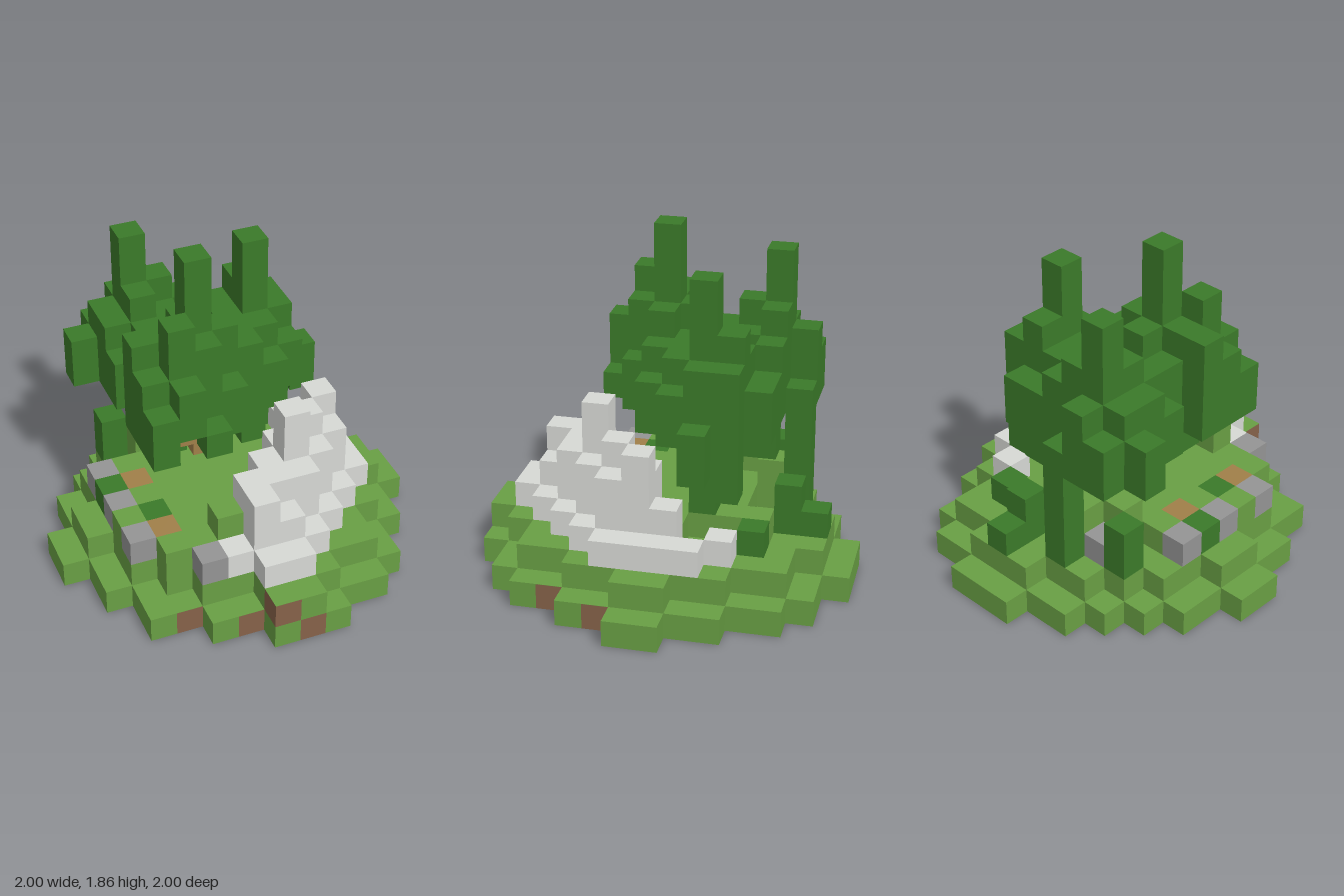
import * as THREE from 'three';
import { mergeGeometries } from 'three/addons/utils/BufferGeometryUtils.js';

const U = 1 / 7; // edge of one block
const mat = (name, color) => Object.assign(new THREE.MeshStandardMaterial({ color }), { name });

// One upright column of blocks standing in cell (x, z), from level y0 to y1
function column(x, z, y0, y1) {
  const g = new THREE.BoxGeometry(U, (y1 - y0) * U, U);
  return g.translate((x + 0.5) * U, ((y0 + y1) / 2) * U, (z + 0.5) * U);
}

export function createModel() {
  const model = new THREE.Group();
  const grass = mat('grass green', 0x699f44);
  const leaf = mat('leaf green', 0x3b7a29);
  const pale = mat('pale stone', 0xd7d9d5);
  const grey = mat('grey stone', 0x949494);
  const wood = mat('wood', 0xa07f49);
  const dirt = mat('dirt', 0x866249);
  const coal = mat('black stone', 0x222222);

  const add = (name, material, cells) => {
    const mesh = new THREE.Mesh(mergeGeometries(cells.map((c) => column(...c))), material);
    mesh.name = name;
    model.add(mesh);
  };
  const has = (list, x, z) => list.some(([a, b]) => a === x && b === z);
  // Reads column heights from rows of base-36 digits; '.' is empty
  const readRows = (rows, x0, z0, bottom) => {
    const cells = [];
    rows.forEach((row, j) => [...row].forEach((ch, i) => {
      if (ch === '.') return;
      const x = x0 + i, z = z0 + j;
      cells.push([x, z, bottom(x, z), parseInt(ch, 36)]);
    }));
    return cells;
  };

  // Round island outline: first cell and end cell of each row
  const spans = [[-1, 2], [-3, 4], [-4, 5], [-5, 5], [-6, 6], [-6, 6], [-7, 7],
    [-7, 7], [-6, 6], [-6, 6], [-5, 5], [-5, 5], [-3, 4], [-1, 2]];
  const inside = (x, z) => {
    const s = spans[z + 7];
    return !!s && x >= s[0] && x < s[1];
  };
  const inner = (x, z) => inside(x - 1, z) && inside(x + 1, z) && inside(x, z - 1) && inside(x, z + 1);

  // Odd blocks set into the underside
  const coalBase = [[-3, -1, 0, 1], [-3, 0, 0, 1]];
  const woodBase = [[-2, -1, 0, 1]];
  const leafBase = [[-3, -2, 0, 1]];
  const inlaid = [...coalBase, ...woodBase, ...leafBase];
  add('undersideBlackStone', coal, coalBase);
  add('undersideWood', wood, woodBase);
  add('undersideLeaf', leaf, leafBase);

  // Dirt showing through the grassy edge
  const bare = [[-4, 4], [-2, 5], [0, 6], [4, 3], [5, 1]];
  const rim = [], soil = [[-1, 6, 1, 1.99]], terrace = [[-1, 6, 1.99, 2], [0, 6, 1, 2]];
  for (let z = -7; z < 7; z++) {
    for (let x = -7; x < 7; x++) {
      if (!inside(x, z)) continue;
      const isBare = has(bare, x, z);
      if (!has(inlaid, x, z)) (inner(x, z) || isBare ? soil : rim).push([x, z, 0, isBare ? 0.99 : 1]);
      if (isBare) rim.push([x, z, 0.99, 1]);
      if (inner(x, z)) terrace.push([x, z, 1, 2]);
    }
  }
  add('islandRim', grass, rim);
  add('islandSoil', dirt, soil);
  add('grassTerrace', grass, terrace);

  // Pale rock outcrop curving round the front and left side
  add('rockOutcrop', pale, readRows([
    '.....3.',
    '......3',
    '.....43',
    '....563',
    '...5653',
    '..5753.',
    '.5553..',
    '3543...',
    '.33....',
  ], -2, -3, () => 2));

  // Loose stones
  add('looseStones', grey,
    [[-5, -2], [-5, 0], [-5, 2], [-3, 4], [-1, 2], [-3, -4]].map(([x, z]) => [x, z, 2, 3]));

  // Raised meadow under the trees
  add('meadow', grass, readRows([
    '.43333.',
    '333333.',
    '.333333',
    '333333.',
    '.3333..',
    '.33....',
    '334....',
  ], -4, -3, () => 2).concat([[-5, 1, 2, 3], [-2, -4, 2, 4], [1, -4, 2, 3]]));

  // Low bushes and saplings
  add('bushes', leaf, [[-4, -4, 2, 4], [-2, -5, 2, 7], [0, -5, 2, 4], [0, -6, 2, 3],
    [2, -4, 2, 3], [-5, -1, 2, 3], [-4, 1, 2, 3]]);

  // Trunk, branches and stumps
  add('trunk', wood, [[-1, -2, 3, 7]]);
  add('branches', wood, [[-3, 1, 6, 7], [-3, -3, 6, 7]]);
  add('stumps', wood, [[-4, 2, 2, 3], [-4, -1, 2, 3]]);

  // Stepped tree canopy with three tall peaks; some columns hang lower
  const bottoms = { '3,-2': 5, '1,-2': 3, '2,-3': 4, '-3,0': 5, '0,-4': 5, '-2,-4': 7,
    '-3,2': 7, '-3,1': 7, '-3,-3': 7, '-1,-2': 7, '-2,-3': 6 };
  const canopyBottom = (x, z) => {
    const low = z > -4 && z < -1 && x > -4 && (x + z) % 2 !== 0;
    return bottoms[`${x},${z}`] ?? (low ? 5 : 6);
  };
  add('canopy', leaf, readRows([
    '.89......',
    '89ca988..',
    '.9a989a9.',
    '.89989c97',
    '..9a9998.',
    '.aada98..',
    '.9ba8....',
    '.897.....',
  ], -5, -5, canopyBottom));

  return model;
}
